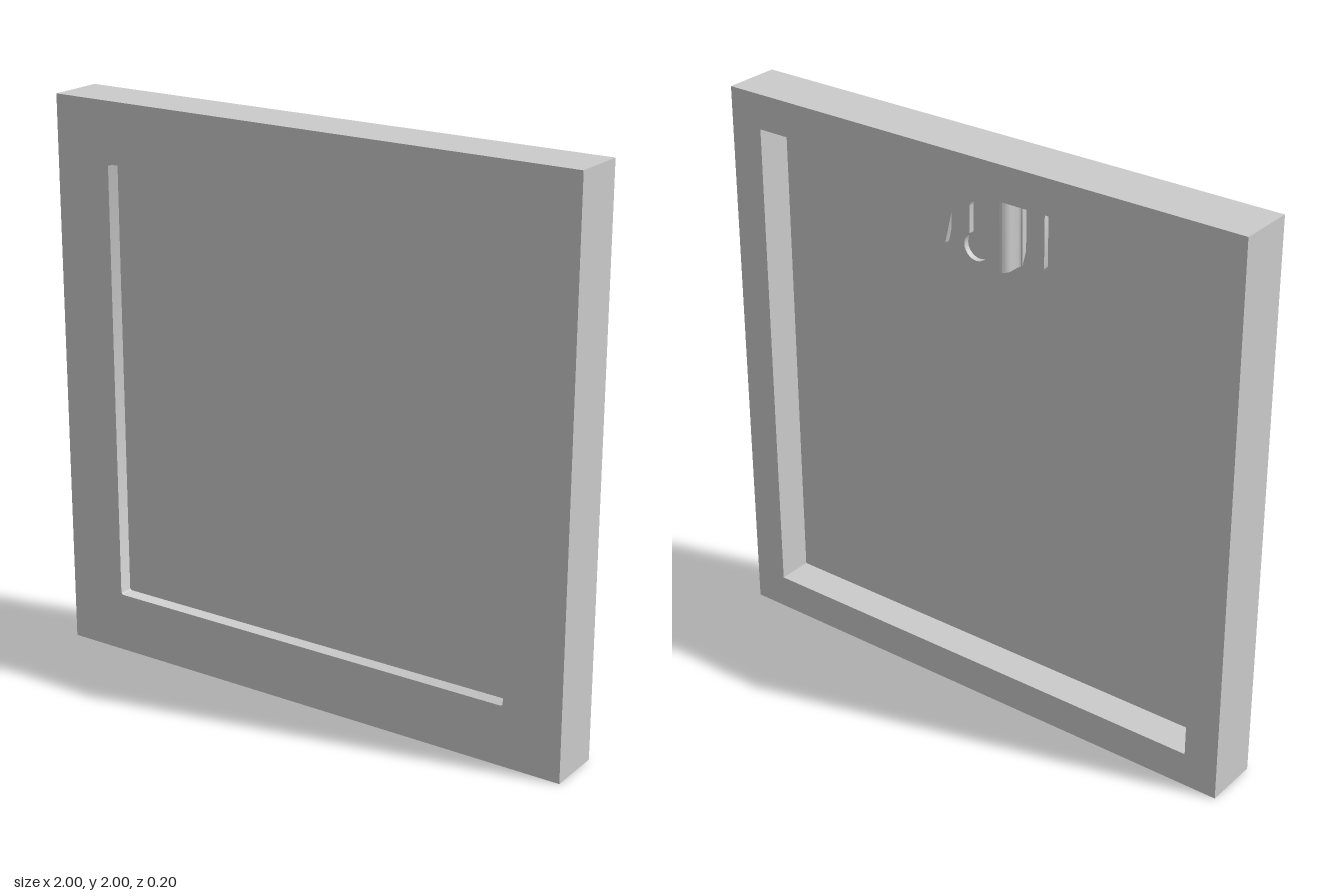
import * as THREE from 'three';
import { toCreasedNormals } from 'three/addons/utils/BufferGeometryUtils.js';

const material = new THREE.MeshStandardMaterial({ color: 0xcccccc });

// Square frame, about the centre of the model
const FRONT_OPENING = 0.785, BACK_OPENING = 0.877;
const Z_BACK = -0.1, Z_PANEL_BACK = 0.025, Z_PANEL_FRONT = 0.05, Z_FRONT = 0.1;
// Sheet metal hanger
const TOP = 1.875, BOTTOM = 1.62, HEIGHT = TOP - BOTTOM, SHEET = 0.02;
const PLATE_Z = -0.07;

function extrude(shape, depth) {
  const geometry = new THREE.ExtrudeGeometry(shape, { depth, bevelEnabled: false, curveSegments: 12 });
  return toCreasedNormals(geometry, 0.5);
}

function addMesh(parent, name, geometry, x, y, z) {
  const mesh = new THREE.Mesh(geometry, material);
  mesh.name = name;
  mesh.position.set(x, y, z);
  parent.add(mesh);
  return mesh;
}

// Square outline with optional rounded corners
function square(half, radius = 0, Type = THREE.Shape) {
  const path = new Type();
  if (!radius) {
    path.moveTo(-half, -half).lineTo(half, -half).lineTo(half, half).lineTo(-half, half).closePath();
    return path;
  }
  const c = half - radius;
  path.absarc(c, c, radius, 0, Math.PI / 2);
  path.absarc(-c, c, radius, Math.PI / 2, Math.PI);
  path.absarc(-c, -c, radius, Math.PI, Math.PI * 1.5);
  path.absarc(c, -c, radius, Math.PI * 1.5, Math.PI * 2);
  path.closePath();
  return path;
}

function ring(opening, radius, depth) {
  const shape = square(1);
  shape.holes.push(square(opening, radius, THREE.Path));
  return extrude(shape, depth);
}

// Raised plate with a keyhole: round hole below, narrow slot above
function keyholePlate() {
  const w = 0.085, h = HEIGHT / 2;
  const shape = new THREE.Shape();
  shape.moveTo(-w, -h).lineTo(w, -h).lineTo(w, h).lineTo(-w, h).closePath();
  const middle = (TOP + BOTTOM) / 2;
  const holeY = 1.683 - middle, holeR = 0.048, slotR = 0.026, slotY = 1.84 - slotR - middle;
  const a = Math.acos(slotR / holeR);
  const hole = new THREE.Path();
  hole.absarc(0, holeY, holeR, Math.PI - a, Math.PI * 2 + a);
  hole.absarc(0, slotY, slotR, 0, Math.PI);
  hole.closePath();
  shape.holes.push(hole);
  return extrude(shape, SHEET);
}

// Side wall with its two bends, as a section in x and z
function bentWall() {
  const q = Math.PI / 2, small = 0.01, large = small + SHEET;
  const plateBend = [0.085, PLATE_Z + large], footBend = [0.125, Z_PANEL_BACK - large];
  const s = new THREE.Shape();
  s.absarc(...plateBend, large, -q, 0);
  s.absarc(...footBend, small, Math.PI, q, true);
  s.absarc(...footBend, large, q, Math.PI);
  s.absarc(...plateBend, small, 0, -q, true);
  s.closePath();
  return extrude(s, HEIGHT).rotateX(Math.PI / 2).translate(0, HEIGHT / 2, 0);
}

// Flat foot with rounded outer corners
function flange() {
  const h = HEIGHT / 2, r = 0.025, edge = 0.21;
  const s = new THREE.Shape();
  s.moveTo(0.125, -h);
  s.absarc(edge - r, -h + r, r, -Math.PI / 2, 0);
  s.absarc(edge - r, h - r, r, 0, Math.PI / 2);
  s.lineTo(0.125, h).closePath();
  return extrude(s, SHEET);
}

export function createModel() {
  const model = new THREE.Group();
  model.name = 'pictureFrame';

  // Frame: narrow lip in front, deeper and wider opening behind, panel between
  const frame = new THREE.Group();
  frame.name = 'frame';
  model.add(frame);
  addMesh(frame, 'frontLip', ring(FRONT_OPENING, 0.01, Z_FRONT - Z_PANEL_FRONT), 0, 1, Z_PANEL_FRONT);
  addMesh(frame, 'backRim', ring(BACK_OPENING, 0, Z_PANEL_FRONT - Z_BACK), 0, 1, Z_BACK);
  const panelDepth = Z_PANEL_FRONT - Z_PANEL_BACK;
  addMesh(model, 'panel', new THREE.BoxGeometry(BACK_OPENING * 2, BACK_OPENING * 2, panelDepth),
    0, 1, Z_PANEL_BACK + panelDepth / 2);

  // Hanger on the back of the panel, under the top rail
  const hanger = new THREE.Group();
  hanger.name = 'hanger';
  hanger.position.y = (TOP + BOTTOM) / 2;
  model.add(hanger);
  addMesh(hanger, 'keyholePlate', keyholePlate(), 0, 0, PLATE_Z);
  for (const side of ['left', 'right']) {
    const half = new THREE.Group();
    half.name = side + 'Bracket';
    half.rotation.z = side === 'left' ? 0 : Math.PI;
    addMesh(half, side + 'Wall', bentWall(), 0, 0, 0);
    addMesh(half, side + 'Flange', flange(), 0, 0, Z_PANEL_BACK - SHEET);
    hanger.add(half);
  }
  return model;
}
